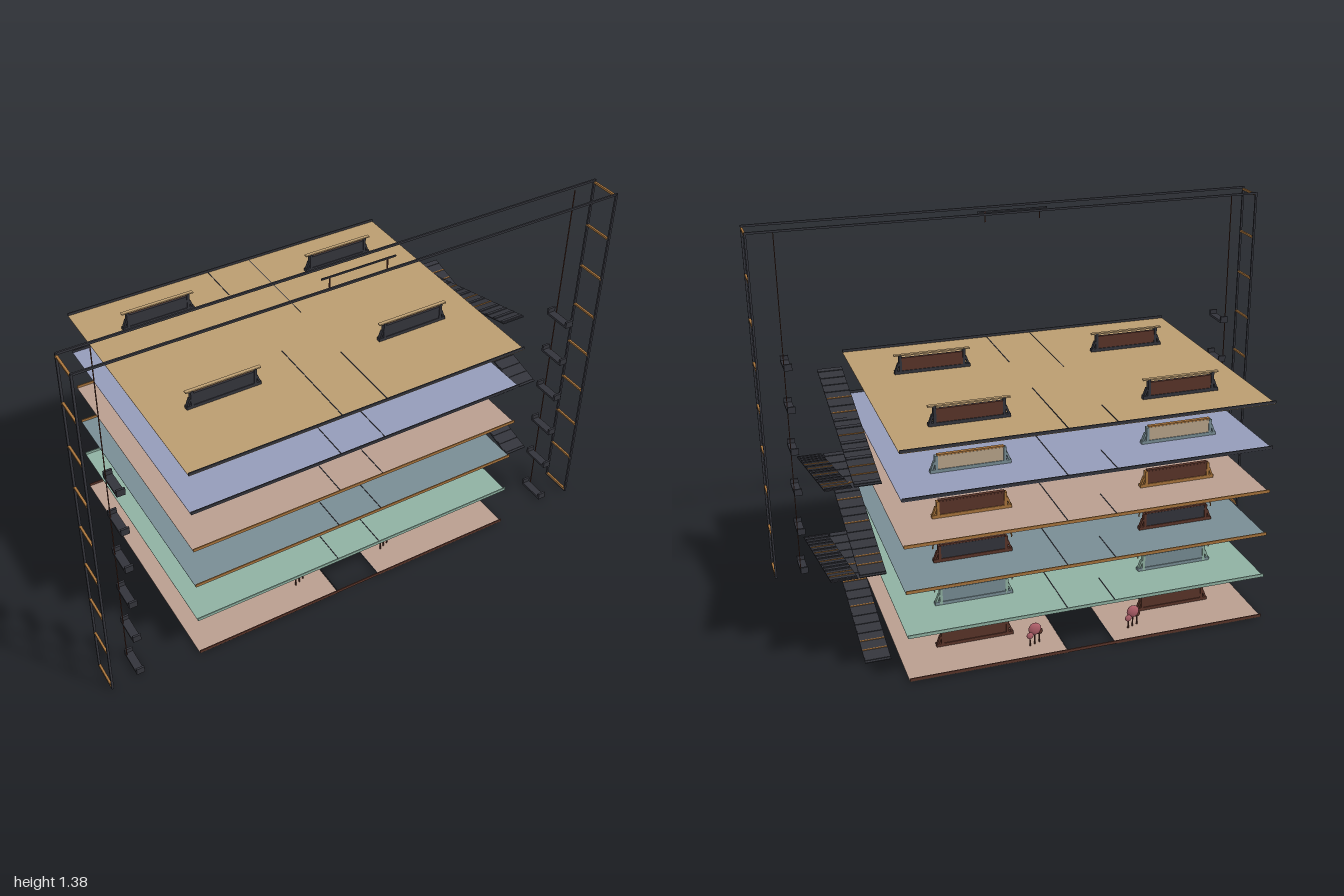
import * as THREE from 'three';

const mat = (name, color) => {
  const m = new THREE.MeshStandardMaterial({ color });
  m.name = name;
  return m;
};

export function createModel() {
  const slate = mat('slate', 0x33343b);
  const tan = mat('tan', 0xba9c70);
  const lavender = mat('lavender', 0x949bb9);
  const rose = mat('rose clay', 0xb99d8f);
  const blueGrey = mat('blue grey', 0x788d94);
  const green = mat('sage green', 0x8fb1a2);
  const orange = mat('orange brown', 0xa8743c);
  const brown = mat('dark brown', 0x5a3429);
  const pale = mat('pale sand', 0xb9a48a);
  const red = mat('dusty red', 0xb0606a);

  const model = new THREE.Group();
  const group = (name, parent = model) => {
    const g = new THREE.Group();
    g.name = name;
    parent.add(g);
    return g;
  };
  const add = (parent, name, geo, material, x, y, z) => {
    const m = new THREE.Mesh(geo, material);
    m.name = name;
    m.position.set(x, y, z);
    parent.add(m);
    return m;
  };
  // Box given by its centre in x and z and by its bottom in y
  const box = (parent, name, material, w, h, d, x, y, z) =>
    add(parent, name, new THREE.BoxGeometry(w, h, d), material, x, y + h / 2, z);

  const STEP = 0.17, BASE = 0.01;
  const floors = [
    { deck: rose, trim: brown, front: pale, back: brown, roof: brown, ends: brown, base: brown },
    { deck: green, trim: green, front: slate, back: blueGrey, roof: blueGrey, ends: green, base: blueGrey, arms: pale },
    { deck: blueGrey, trim: orange, front: orange, back: slate, roof: brown, ends: brown, base: brown, arms: orange },
    { deck: rose, trim: orange, front: orange, back: brown, roof: brown, ends: orange, base: orange },
    { deck: lavender, trim: slate, front: slate, back: pale, roof: orange, ends: blueGrey, base: blueGrey },
    { deck: tan, trim: slate, front: slate, back: brown, roof: tan, ends: slate, base: slate, wide: true },
  ];

  // Thin stall wall with base, roof bar, end posts and optional curved arms
  function stall(parent, f, x, y, z) {
    const s = group('stall', parent);
    s.position.set(x, y, z);
    box(s, 'stallFront', f.front, 0.235, 0.05, 0.006, 0, 0.012, 0.003);
    box(s, 'stallBack', f.back, 0.235, 0.05, 0.006, 0, 0.012, -0.003);
    box(s, 'stallBase', f.base, 0.285, 0.012, 0.018, 0, 0.002, 0);
    box(s, 'stallRoof', f.roof, f.wide ? 0.285 : 0.235, 0.005, 0.014, 0, f.wide ? 0.07 : 0.063, 0);
    for (const side of [-1, 1]) {
      box(s, 'stallEnd', f.ends, 0.01, f.wide ? 0.07 : 0.06, 0.018, side * 0.12, 0.003, 0);
      const foot = box(s, 'stallBrace', f.ends, 0.007, 0.035, 0.014, side * 0.132, 0.008, 0);
      foot.rotation.z = side * 0.35;
      if (f.arms) {
        const arm = add(s, 'stallArm', new THREE.TorusGeometry(0.017, 0.0025, 6, 12, Math.PI),
          f.arms, side * 0.125, 0.058, 0);
        arm.rotation.z = -side * 0.3;
      }
    }
  }

  // Floors
  floors.forEach((f, i) => {
    const y = BASE + STEP * i;
    const g = group('floor' + i);
    if (i === 0) {
      for (const s of [-1, 1]) box(g, 'deckHalf', f.deck, 0.573, 0.002, 1, s * 0.3765 - 0.0025, y - 0.001, 0);
    } else {
      box(g, 'deck', f.deck, 1.325, 0.002, 1, -0.0025, y - 0.001, 0);
    }
    for (const z of [-0.498, 0.498]) box(g, 'edgeTrim', f.trim, 1.325, 0.011, 0.004, -0.0025, y, z);
    // Seams running front to back
    for (const [x, a, b] of [[-0.09, -0.5, -0.32], [-0.09, 0.08, 0.49], [0.087, -0.5, -0.09], [0.087, 0.19, 0.49]])
      box(g, 'seam', slate, 0.003, 0.002, b - a, x, y + 0.0008, (a + b) / 2);
    for (const x of [-0.385, 0.38]) for (const z of [0.2, -0.315]) stall(g, f, x, y, z);
  });

  // Small trees and planter rows on the lowest floor
  const garden = group('garden');
  for (const x of [-0.19, 0.185]) for (const z of [0.38, -0.165, -0.41]) {
    const t = group('tree', garden);
    t.position.set(x, BASE, z);
    [[0, 0.063, 0.024, red, 0], [-0.02, 0.045, 0.013, brown, 0.009], [0.02, 0.042, 0.013, red, -0.007]]
      .forEach(([dx, h, r, m, dz]) => {
        add(t, 'trunk', new THREE.CylinderGeometry(0.002, 0.003, h, 6), brown, dx, h / 2, dz);
        const crown = add(t, 'crown', new THREE.SphereGeometry(r, 10, 8), m, dx, h, dz);
        crown.scale.z = 0.45;
      });
  }
  for (const cx of [-0.385, 0.38]) for (const z of [0.28, -0.23]) for (let k = 0; k < 4; k++) {
    const x = cx + (k - 1.5) * 0.065;
    add(garden, 'planter', new THREE.CylinderGeometry(0.014, 0.01, 0.014, 8), brown, x, 0.018, z);
    add(garden, 'plantStem', new THREE.CylinderGeometry(0.002, 0.002, 0.025, 5), brown, x, 0.033, z);
    add(garden, 'plantTop', new THREE.SphereGeometry(0.009, 8, 6), red, x, 0.045, z);
  }

  // Zigzag stair flights with treads and a few coloured nosings
  const RUN = 0.68, slope = Math.atan2(STEP, RUN), len = Math.hypot(STEP, RUN);
  for (let i = 0; i < 5; i++) {
    const g = group('stairFlight');
    g.position.set(i % 2 ? 0.835 : 0.737, BASE + STEP * (i + 0.5), 0);
    g.rotation.x = i % 2 ? slope : -slope;
    box(g, 'stairSlab', slate, 0.092, 0.004, len, 0, -0.002, 0);
    for (let k = 0; k < 16; k++) {
      const marked = k % 5 === 1 || k % 7 === 2;
      box(g, marked ? 'markedTread' : 'tread', marked ? orange : slate,
        0.088, 0.003, marked ? 0.004 : 0.014, 0, 0.002, (k / 15 - 0.5) * (len - 0.03));
    }
  }

  // Gantry: side ladders joined by two long top rails
  const gantry = group('gantry');
  const zs = [0.37, 0.483];
  for (const z of zs) box(gantry, 'topRail', slate, 2, 0.008, 0.006, 0, 1.38, z);
  for (const s of [-1, 1]) {
    for (const z of zs) box(gantry, 'ladderPost', slate, 0.008, 1.38, 0.007, s * 0.996, 0.005, z);
    for (let k = 0; k < 9; k++)
      box(gantry, 'rung', orange, 0.008, 0.007, 0.113, s * 0.996, BASE + k * STEP + (k === 8 ? 0.003 : 0), 0.4265);
    box(gantry, 'ladderFoot', slate, 0.008, 0.006, 0.113, s * 0.996, 0.004, 0.4265);
    // Hanging line with a cradle at each floor
    box(gantry, 'hangingLine', brown, 0.003, 1.36, 0.003, s * 0.897, 0.02, 0.385);
    for (let i = 0; i < 6; i++) {
      const c = group('cradle', gantry);
      c.position.set(s * 0.884, BASE + STEP * i - 0.003, 0.42);
      box(c, 'cradleFloor', slate, 0.03, 0.009, 0.106, 0, 0, 0);
      for (const e of [-1, 1]) box(c, 'cradleEnd', slate, 0.03, 0.026, 0.008, 0, 0, e * 0.05);
    }
  }

  // Hoist bar in the middle of the gantry
  box(gantry, 'hoistBar', slate, 0.276, 0.006, 0.004, -0.002, 1.378, 0.422);
  for (const x of [-0.11, 0.105]) box(gantry, 'hoistHook', brown, 0.004, 0.04, 0.004, x, 1.342, 0.422);

  return model;
}
